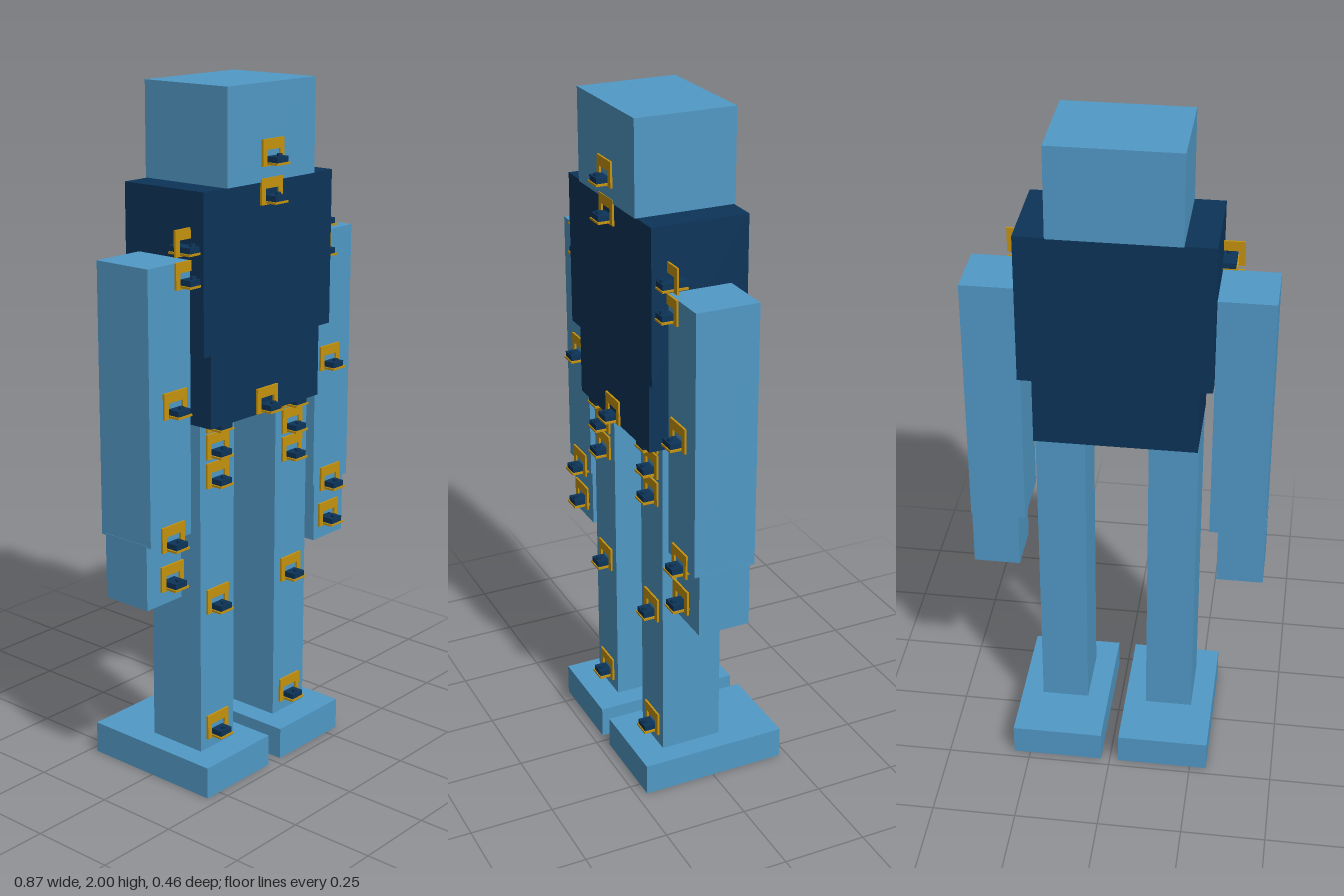
import * as THREE from 'three';

const mat = (name, color) => {
  const m = new THREE.MeshStandardMaterial({ color });
  m.name = name;
  return m;
};

export function createModel() {
  const model = new THREE.Group();
  model.name = 'robot';
  const blue = mat('shell blue', 0x5199c6);
  const navy = mat('navy', 0x0c3459);
  const gold = mat('gold', 0xc6930f);

  // Box given by its lower and upper limits on each axis
  function block(parent, name, material, [x0, x1], [y0, y1], [z0, z1]) {
    const mesh = new THREE.Mesh(new THREE.BoxGeometry(x1 - x0, y1 - y0, z1 - z0), material);
    mesh.position.set((x0 + x1) / 2, (y0 + y1) / 2, (z0 + z1) / 2);
    mesh.name = name;
    parent.add(mesh);
    return mesh;
  }

  // Head and torso
  block(model, 'head', blue, [-0.185, 0.185], [1.735, 2], [-0.105, 0.19]);
  block(model, 'chest', navy, [-0.273, 0.273], [1.29, 1.735], [-0.1, 0.184]);
  block(model, 'waist', navy, [-0.235, 0.235], [1.08, 1.29], [-0.085, 0.175]);

  // Limbs, mirrored
  for (const s of [-1, 1]) {
    const side = s > 0 ? 'left' : 'right';
    const span = (a, b) => (s > 0 ? [a, b] : [-b, -a]);
    block(model, side + 'Arm', blue, span(0.273, 0.436), [0.78, 1.55], [-0.05, 0.135]);
    block(model, side + 'Hand', blue, span(0.298, 0.437), [0.595, 0.785], [-0.035, 0.12]);
    block(model, side + 'Leg', blue, span(0.092, 0.235), [0.095, 1.08], [-0.05, 0.135]);
    block(model, side + 'Foot', blue, span(0.027, 0.3), [0, 0.095], [-0.226, 0.218]);
  }

  // Servo bracket: a plate with a window, a shelf, and a motor passing through
  const outline = new THREE.Shape();
  outline.moveTo(-0.045, 0).lineTo(0.045, 0).lineTo(0.045, 0.073).lineTo(-0.045, 0.073).closePath();
  const win = new THREE.Path();
  win.moveTo(-0.028, 0.01).lineTo(-0.028, 0.044).lineTo(0.028, 0.044).lineTo(0.028, 0.01).closePath();
  outline.holes.push(win);
  const plateGeo = new THREE.ExtrudeGeometry(outline, { depth: 0.006, bevelEnabled: false });
  const hornGeo = new THREE.CylinderGeometry(0.008, 0.008, 0.008, 12);

  function servo(name, x, y, z) {
    const g = new THREE.Group();
    g.name = name;
    const plate = new THREE.Mesh(plateGeo, gold);
    plate.name = 'bracketPlate';
    g.add(plate);
    block(g, 'bracketShelf', gold, [-0.028, 0.028], [0.004, 0.01], [-0.036, 0.04]);
    block(g, 'motor', navy, [-0.023, 0.023], [0.01, 0.026], [-0.04, 0.037]);
    const horn = new THREE.Mesh(hornGeo, navy);
    horn.name = 'motorHorn';
    horn.position.set(0, 0.03, 0.026);
    g.add(horn);
    g.position.set(x, y, z);
    model.add(g);
  }

  // Servos on the centre line
  servo('headServo', 0, 1.777, 0.19);
  servo('neckServo', 0, 1.672, 0.186);
  servo('waistServo', 0, 1.082, 0.176);

  // Servos on both sides: name, x, lower edge y, z
  const paired = [
    ['shoulderServo', 0.288, 1.565, 0.133],
    ['upperArmServo', 0.288, 1.478, 0.135],
    ['elbowServo', 0.338, 1.132, 0.135],
    ['wristServo', 0.35, 0.755, 0.135],
    ['handServo', 0.35, 0.64, 0.131],
    ['hipTopServo', 0.165, 1.056, 0.135],
    ['hipServo', 0.165, 0.978, 0.135],
    ['thighServo', 0.165, 0.894, 0.135],
    ['kneeServo', 0.165, 0.518, 0.135],
    ['ankleServo', 0.165, 0.126, 0.135],
  ];
  for (const [name, x, y, z] of paired) {
    for (const s of [-1, 1]) servo((s > 0 ? 'left ' : 'right ') + name, s * x, y, z);
  }
  return model;
}
